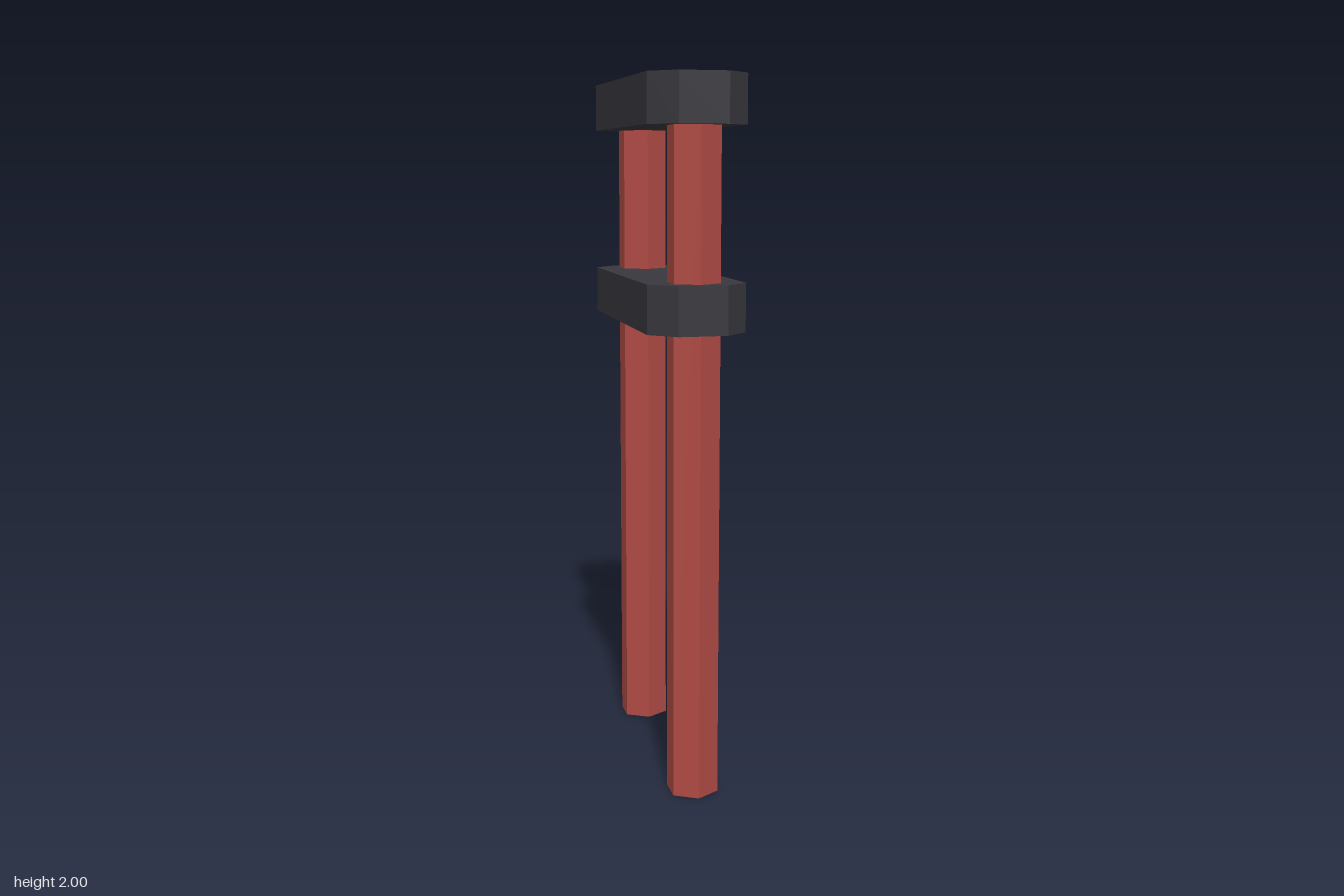
import * as THREE from 'three';

const POST_R = 0.075, POST_Z = 0.31;

// Hexagonal hole matching a post, points along z
function hexHole(cz) {
  const pts = [];
  for (let i = 0; i < 6; i++) {
    const a = (i * Math.PI) / 3;
    pts.push(new THREE.Vector2(POST_R * Math.sin(a), cz + POST_R * Math.cos(a)));
  }
  return new THREE.Path(pts);
}

// Flat bar with chamfered corners and two post holes
function barGeometry(height) {
  const x = 0.137, z = 0.412, c = 0.069;
  const shape = new THREE.Shape([
    [x, -z + c], [x, z - c], [x - c, z], [-x + c, z],
    [-x, z - c], [-x, -z + c], [-x + c, -z], [x - c, -z],
  ].map(([a, b]) => new THREE.Vector2(a, b)));
  shape.holes.push(hexHole(POST_Z), hexHole(-POST_Z));
  const g = new THREE.ExtrudeGeometry(shape, { depth: height, bevelEnabled: false });
  g.rotateX(-Math.PI / 2);
  return g;
}

export function createModel() {
  const group = new THREE.Group();
  const red = new THREE.MeshStandardMaterial({ color: 0xb04a44, flatShading: true });
  red.name = 'red';
  const charcoal = new THREE.MeshStandardMaterial({ color: 0x39383e, flatShading: true });
  charcoal.name = 'charcoal';

  // Two full-height posts
  const postGeo = new THREE.CylinderGeometry(POST_R, POST_R, 2, 6);
  for (const [name, z] of [['frontPost', POST_Z], ['backPost', -POST_Z]]) {
    const post = new THREE.Mesh(postGeo, red);
    post.name = name;
    post.position.set(0, 1, z);
    group.add(post);
  }

  // Crossbars the posts pass through
  const barGeo = barGeometry(0.134);
  for (const [name, y] of [['topCrossbar', 1.866], ['lowerCrossbar', 1.316]]) {
    const bar = new THREE.Mesh(barGeo, charcoal);
    bar.name = name;
    bar.position.y = y;
    group.add(bar);
  }
  return group;
}
